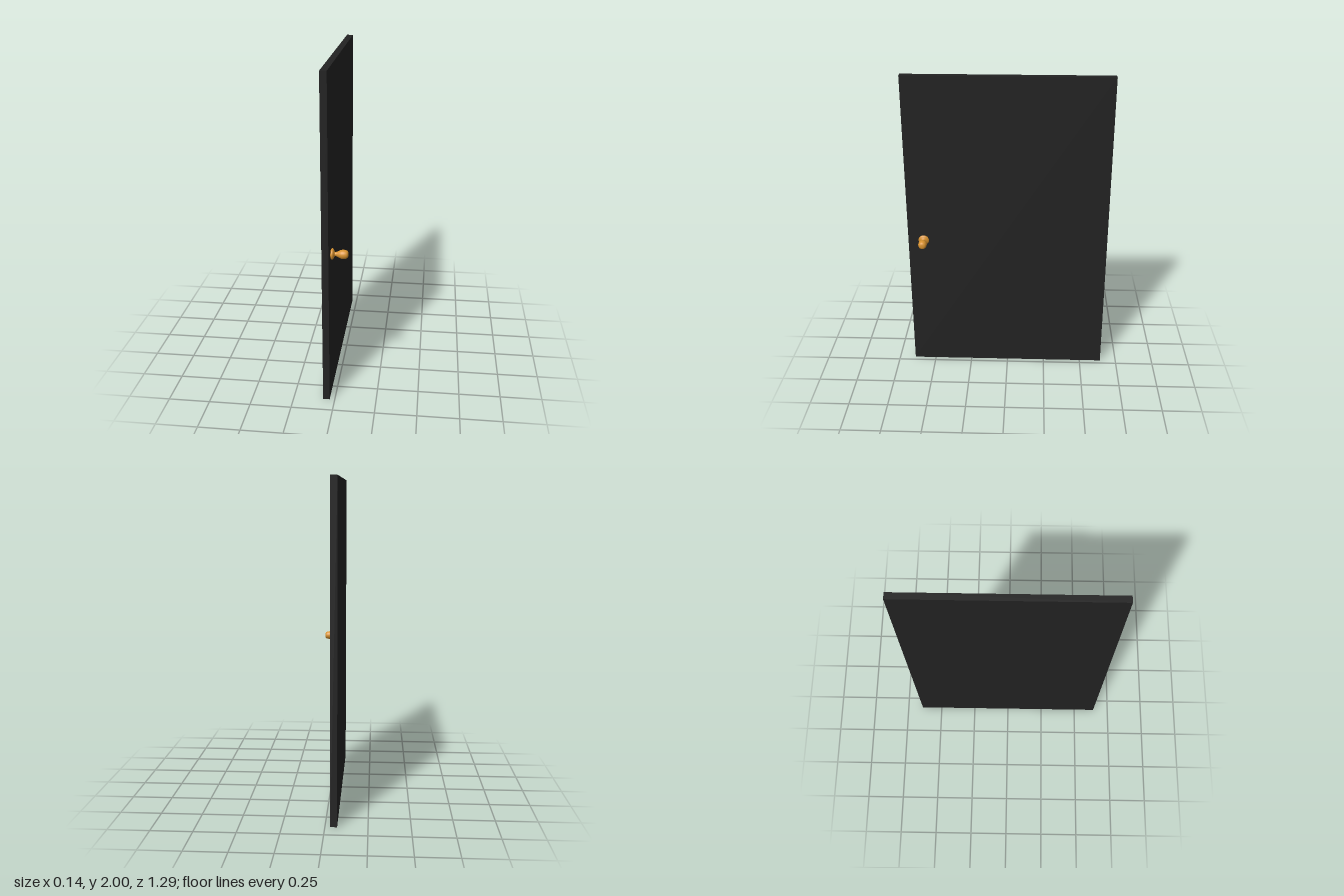
import * as THREE from 'three';

export function createModel() {
  const model = new THREE.Group();
  model.name = 'door';

  // Flat slab
  const panel = new THREE.Mesh(
    new THREE.BoxGeometry(0.04, 2, 1.286),
    new THREE.MeshStandardMaterial({ color: 0x222222 })
  );
  panel.name = 'doorPanel';
  panel.position.set(-0.051, 1, 0);
  model.add(panel);

  const brass = new THREE.MeshStandardMaterial({ color: 0xd8922f });
  const handle = new THREE.Group();
  handle.name = 'doorHandle';
  handle.position.set(-0.031, 0.922, 0.542);
  handle.rotation.z = -Math.PI / 2; // turned axis points out of the panel
  model.add(handle);

  const turned = (name, profile) => {
    const points = profile.map(([r, h]) => new THREE.Vector2(r, h));
    const mesh = new THREE.Mesh(new THREE.LatheGeometry(points, 32), brass);
    mesh.name = name;
    handle.add(mesh);
  };

  // Round backplate, tapering into the neck
  turned('backplate', [
    [0, 0], [0.024, 0], [0.031, 0.004], [0.034, 0.009],
    [0.032, 0.014], [0.025, 0.018], [0.016, 0.021], [0.012, 0.025]
  ]);

  // Neck swelling into a pear-shaped knob with a shallow domed end
  turned('knob', [
    [0.012, 0.018], [0.012, 0.028], [0.014, 0.036], [0.019, 0.046],
    [0.024, 0.056], [0.027, 0.067], [0.027, 0.078], [0.025, 0.089],
    [0.021, 0.097], [0.015, 0.101], [0.008, 0.1025], [0, 0.1025]
  ]);

  return model;
}
